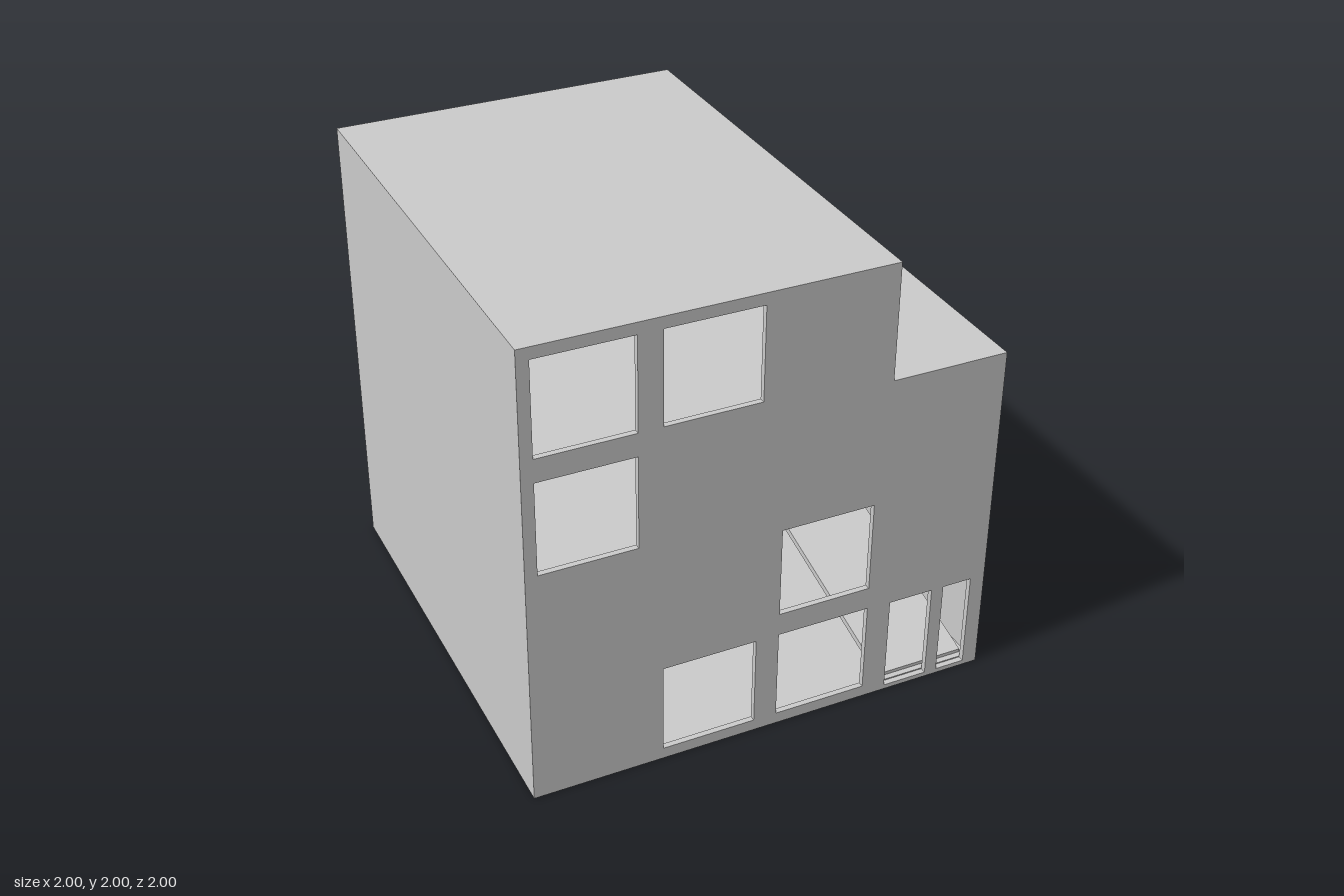
import * as THREE from 'three';

const T = 0.025; // wall and slab thickness
const material = new THREE.MeshStandardMaterial({ color: 0xcccccc, flatShading: true });

// Polygon from [x, y] points, with rectangular openings [x0, x1, y0, y1], extruded
function panel(name, outline, openings = [], depth = T) {
  const shape = new THREE.Shape(outline.map(([x, y]) => new THREE.Vector2(x, y)));
  for (const [x0, x1, y0, y1] of openings) {
    shape.holes.push(new THREE.Path([
      new THREE.Vector2(x0, y0), new THREE.Vector2(x0, y1),
      new THREE.Vector2(x1, y1), new THREE.Vector2(x1, y0),
    ]));
  }
  const geometry = new THREE.ExtrudeGeometry(shape, { depth, bevelEnabled: false });
  const mesh = new THREE.Mesh(geometry, material);
  mesh.name = name;
  return mesh;
}

// Panel in the side plane: outline runs along -z and y, extruded along +x from x
function sidePanel(name, x, outline, openings, depth) {
  const mesh = panel(name, outline, openings, depth);
  mesh.geometry.rotateY(Math.PI / 2);
  mesh.position.x = x;
  return mesh;
}

// Horizontal slab between the front and back walls
function slab(name, x0, x1, top) {
  const mesh = new THREE.Mesh(new THREE.BoxGeometry(x1 - x0, T, 2 - 2 * T), material);
  mesh.position.set((x0 + x1) / 2, top - T / 2, 0);
  mesh.name = name;
  return mesh;
}

const rect = (x0, x1, y0, y1) => [[x0, y0], [x1, y0], [x1, y1], [x0, y1]];

export function createModel() {
  const group = new THREE.Group();
  group.name = 'building';
  const inner = 1 - T;

  // Stepped front and back walls
  const stepped = [[-1, 0], [1, 0], [1, 1.5], [0.5, 1.5], [0.5, 2], [-1, 2]];
  const front = panel('frontWall', stepped, [
    [-0.95, -0.55, 1.55, 1.95], [-0.45, -0.05, 1.55, 1.95],
    [-0.95, -0.55, 1.05, 1.45], [0.05, 0.45, 0.55, 0.95],
    [-0.45, -0.05, 0.05, 0.45], [0.05, 0.45, 0.05, 0.45],
    [0.555, 0.75, 0.02, 0.445], [0.805, 0.935, 0.02, 0.445], // doorways
  ]);
  front.position.z = inner;
  const back = panel('backWall', stepped);
  back.position.z = -1;
  group.add(front, back);

  // Side walls, and the glazed wall above the terrace
  group.add(
    sidePanel('rightWall', -1, rect(-inner, inner, 0, 2)),
    sidePanel('leftWall', inner, rect(-inner, inner, 0, 1.5), [
      [0.05, 0.95, 1.05, 1.45], [-0.95, -0.05, 0.55, 0.95], [0.05, 0.95, 0.05, 0.45],
    ]),
    sidePanel('terraceWall', 0.5 - T, rect(-inner, inner, 1.5 - T, 2 - T), [[-0.95, 0.95, 1.55, 1.95]]),
  );

  // Floors and roofs
  group.add(
    slab('groundFloor', -inner, inner, T),
    slab('upperFloor', -inner, inner, 1.0125),
    slab('terraceRoof', 0.5, inner, 1.5),
    slab('mainRoof', -inner, 0.5, 2),
  );

  // Two ramps, one rising to the back and one returning to the front
  const ramps = [['lowerRamp', 0.01, 0.51], ['upperRamp', 0.94, 0.518]];
  for (const [name, yFront, yBack] of ramps) {
    group.add(sidePanel(name, 0.56, [
      [-0.95, yFront], [0.95, yBack], [0.95, yBack + 0.03], [-0.95, yFront + 0.03],
    ], [], 0.39));
  }
  return group;
}
